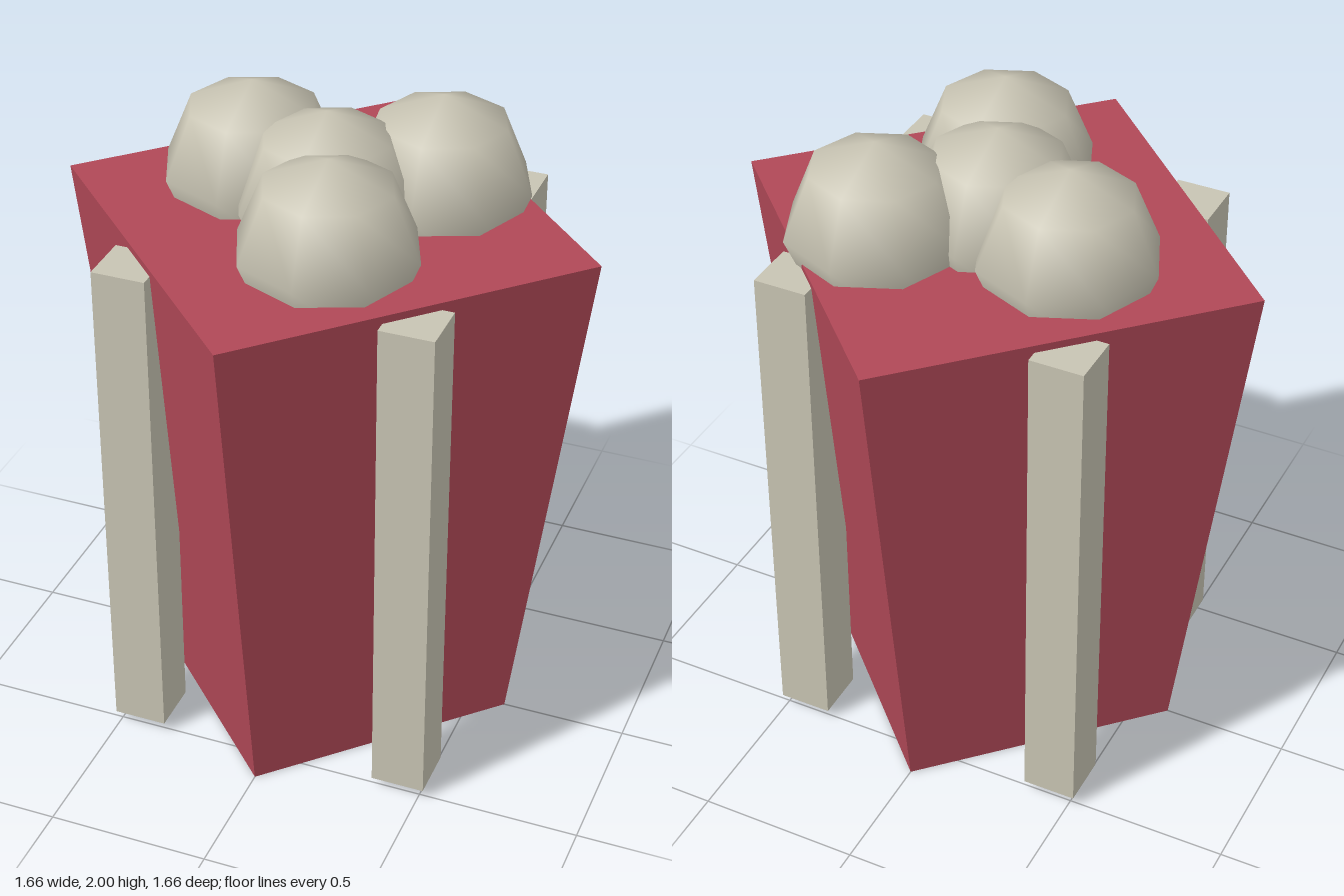
import * as THREE from 'three';

export function createModel() {
  const model = new THREE.Group();
  const red = new THREE.MeshStandardMaterial({ color: 0xb04857 });
  red.name = 'red';
  red.flatShading = true;
  const cream = new THREE.MeshStandardMaterial({ color: 0xc8c4b3 });
  cream.name = 'cream';

  const add = (name, geometry, material, x, y, z) => {
    const mesh = new THREE.Mesh(geometry, material);
    mesh.name = name;
    mesh.position.set(x, y, z);
    model.add(mesh);
  };

  // Four-sided tapered carton, corners on the axes
  const height = 1.665;
  add('carton', new THREE.CylinderGeometry(0.83, 0.61, height, 4), red, 0, height / 2, 0);

  // Upright stripe bars, one in front of each side
  const bar = new THREE.BoxGeometry(0.166, 1.61, 0.166);
  for (const x of [-0.432, 0.432]) {
    for (const z of [-0.432, 0.432]) add('stripeBar', bar, cream, x, 0.835, z);
  }

  // Popped pieces heaped on top
  const radius = 0.277;
  const piece = new THREE.SphereGeometry(radius, 8, 4);
  const spots = [[0, 0], [-0.277, -0.11], [0.277, -0.22], [0.11, 0.272]];
  for (const [x, z] of spots) add('poppedPiece', piece, cream, x, 2 - radius, z);

  return model;
}
